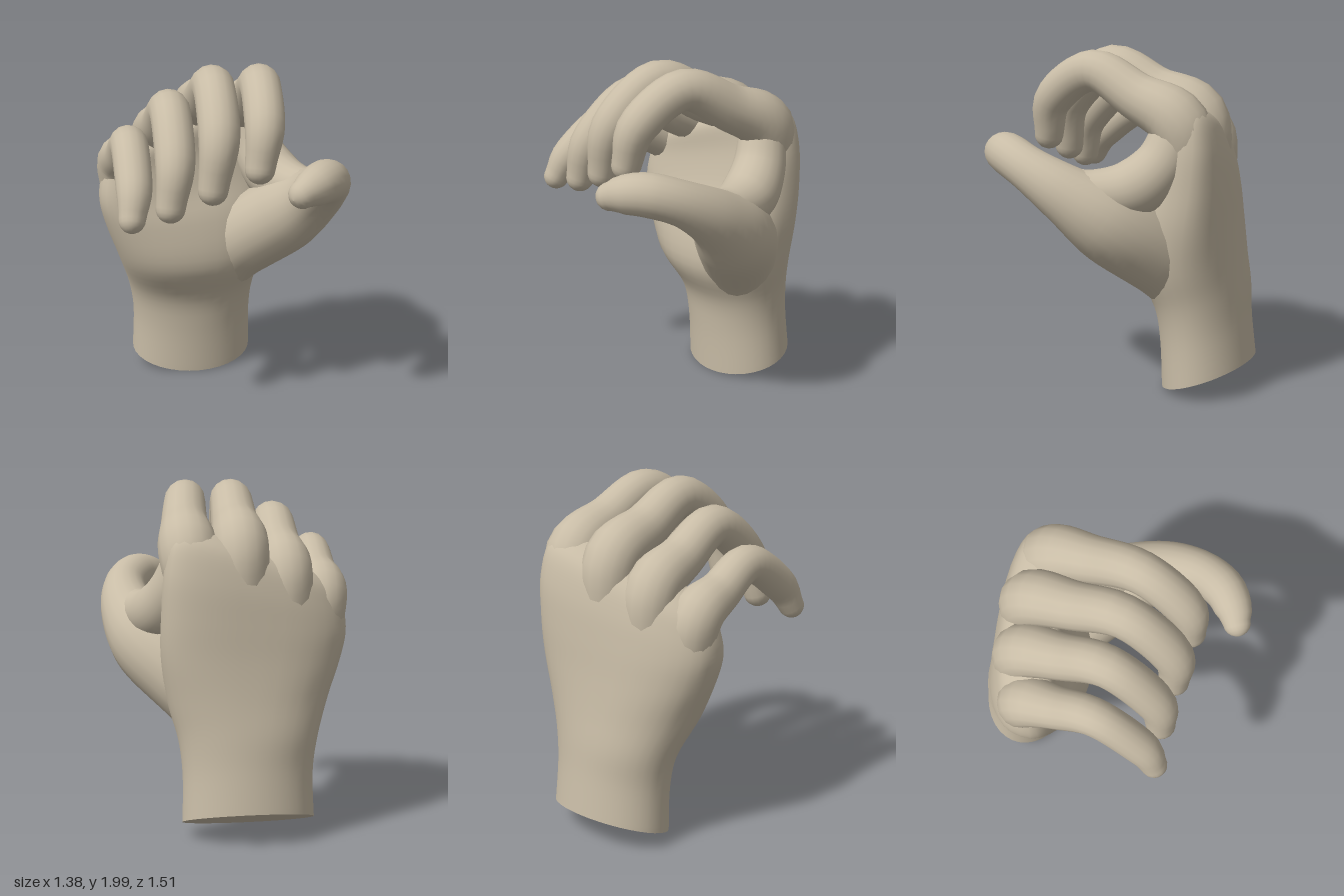
import * as THREE from 'three';

const skinMaterial = new THREE.MeshStandardMaterial({ color: 0xc8bca6 });

// Skin a list of rings; the start gets a flat, sharp-edged cap
function skin(rings) {
  const n = rings[0].length;
  const points = rings.flat();
  const index = [];
  for (let i = 0; i < rings.length - 1; i++) {
    for (let j = 0; j < n; j++) {
      const k = (j + 1) % n;
      const a = i * n + j, b = i * n + k, c = b + n, d = a + n;
      index.push(a, b, c, a, c, d);
    }
  }
  const base = points.length;
  const centre = new THREE.Vector3();
  rings[0].forEach((p) => centre.addScaledVector(p, 1 / n));
  points.push(...rings[0], centre);
  for (let j = 0; j < n; j++) index.push(base + n, base + ((j + 1) % n), base + j);
  const geometry = new THREE.BufferGeometry().setFromPoints(points);
  geometry.setIndex(index);
  geometry.computeVertexNormals();
  return geometry;
}

// Smooth curve through one column of a table of rows
const column = (rows, c) => {
  const curve = new THREE.SplineCurve(rows.map((r, i) => new THREE.Vector2(i, r[c])));
  return (t) => curve.getPoint(t).y;
};

// Tapered round limb through rows of [x, y, z, radius], with a domed tip
function limb(rows, steps = 30, sides = 16) {
  const path = new THREE.CatmullRomCurve3(
    rows.map((r) => new THREE.Vector3(r[0], r[1], r[2])), false, 'catmullrom');
  const radius = column(rows, 3);
  const frames = path.computeFrenetFrames(steps, false);
  const rings = [];
  const ring = (c, i, r) => rings.push(Array.from({ length: sides }, (_, j) => {
    const a = (j / sides) * Math.PI * 2;
    return c.clone()
      .addScaledVector(frames.normals[i], r * Math.cos(a))
      .addScaledVector(frames.binormals[i], r * Math.sin(a));
  }));
  for (let i = 0; i <= steps; i++) {
    const u = i / steps;
    ring(path.getPointAt(u), i, radius(path.getUtoTmapping(u)));
  }
  const tip = path.getPointAt(1), r = rows[rows.length - 1][3];
  for (let k = 1; k <= 5; k++) {
    const a = (k / 5) * Math.PI / 2;
    const c = tip.clone().addScaledVector(frames.tangents[steps], r * Math.sin(a));
    ring(c, steps, Math.max(r * Math.cos(a), 0.002));
  }
  return skin(rings);
}

// Wrist and palm rows:
// x, y, z, half width, half depth, tilt, knuckle slope, roll, palm hollow, squareness
const PALM = [
  [-0.085, 0.095, -0.495, 0.375, 0.28, 0.34, 0, 0, 0, 2],
  [-0.085, 0.35, -0.475, 0.37, 0.265, 0.25, 0, 0, 0, 2],
  [-0.09, 0.55, -0.45, 0.395, 0.27, 0.2, 0, 0, 0, 2.1],
  [-0.1, 0.76, -0.38, 0.46, 0.31, 0.1, 0, 0.06, 0, 2.2],
  [-0.12, 1.0, -0.37, 0.52, 0.29, 0, 0.05, 0.12, 0.08, 2.3],
  [-0.14, 1.2, -0.38, 0.54, 0.255, 0, 0.12, 0.17, 0.2, 2.4],
  [-0.14, 1.39, -0.39, 0.525, 0.215, 0, 0.22, 0.2, 0.2, 2.4],
  [-0.14, 1.54, -0.38, 0.47, 0.17, 0, 0.32, 0.2, 0.1, 2.4],
  [-0.14, 1.61, -0.37, 0.3, 0.08, 0, 0.34, 0.2, 0, 2.2],
  [-0.14, 1.62, -0.37, 0.01, 0.005, 0, 0.34, 0.2, 0, 2],
];

function palmGeometry(steps = 45, sides = 36) {
  const columns = PALM[0].map((_, c) => column(PALM, c));
  const rings = [];
  for (let i = 0; i <= steps; i++) {
    const [x, y, z, w, d, tilt, slope, roll, hollow, power] = columns.map((f) => f(i / steps));
    const bend = (v) => Math.sign(v) * Math.abs(v) ** (2 / power);
    rings.push(Array.from({ length: sides }, (_, j) => {
      const a = (j / sides) * Math.PI * 2;
      const dx = w * bend(Math.sin(a));
      const c = Math.cos(a);
      const dz = d * bend(c) * (c > 0 ? 1 - hollow * c * c : 1);
      return new THREE.Vector3(
        x + dx,
        y + slope * dx - dz * Math.sin(tilt),
        z - roll * dx + dz * Math.cos(tilt));
    }));
  }
  return skin(rings);
}

// Each finger: back of hand, knuckle, mid-bone, middle joint, end joint, tip
const FINGERS = {
  indexFinger: [
    [0.2, 1.25, -0.46, 0.13], [0.24, 1.6, -0.42, 0.168], [0.23, 1.745, -0.16, 0.135],
    [0.19, 1.875, 0.13, 0.118], [0.145, 1.7, 0.4, 0.112], [0.105, 1.475, 0.455, 0.085]],
  middleFinger: [
    [-0.06, 1.25, -0.48, 0.13], [-0.05, 1.62, -0.43, 0.16], [-0.06, 1.75, -0.16, 0.135],
    [-0.08, 1.875, 0.13, 0.12], [-0.115, 1.65, 0.41, 0.115], [-0.16, 1.37, 0.45, 0.085]],
  ringFinger: [
    [-0.32, 1.15, -0.43, 0.13], [-0.31, 1.49, -0.39, 0.155], [-0.315, 1.62, -0.15, 0.13],
    [-0.33, 1.75, 0.12, 0.117], [-0.36, 1.52, 0.4, 0.11], [-0.4, 1.285, 0.455, 0.083]],
  littleFinger: [
    [-0.53, 1.05, -0.33, 0.11], [-0.54, 1.35, -0.3, 0.148], [-0.55, 1.46, -0.1, 0.12],
    [-0.565, 1.57, 0.13, 0.107], [-0.59, 1.39, 0.4, 0.1], [-0.62, 1.245, 0.49, 0.075]],
};

// Thumb from the heel of the palm, curling across the front
const THUMB = [
  [0.08, 0.62, -0.38, 0.17], [0.22, 0.86, -0.25, 0.23], [0.42, 1.06, -0.06, 0.23],
  [0.525, 1.22, 0.15, 0.168], [0.53, 1.345, 0.37, 0.128], [0.45, 1.405, 0.54, 0.122],
  [0.35, 1.4, 0.635, 0.107], [0.285, 1.38, 0.675, 0.08]];

// Fold of skin between thumb and index finger
const WEB = [
  [0.24, 1.56, -0.4, 0.14], [0.3, 1.38, -0.33, 0.155], [0.38, 1.25, -0.19, 0.165],
  [0.46, 1.225, 0, 0.135], [0.51, 1.25, 0.16, 0.12]];

export function createModel() {
  const hand = new THREE.Group();
  hand.name = 'hand';
  const add = (name, geometry) => {
    const mesh = new THREE.Mesh(geometry, skinMaterial);
    mesh.name = name;
    hand.add(mesh);
  };
  add('wristAndPalm', palmGeometry());
  for (const [name, rows] of Object.entries(FINGERS)) add(name, limb(rows));
  add('thumb', limb(THUMB, 36, 20));
  add('thumbWeb', limb(WEB, 24, 20));
  return hand;
}
